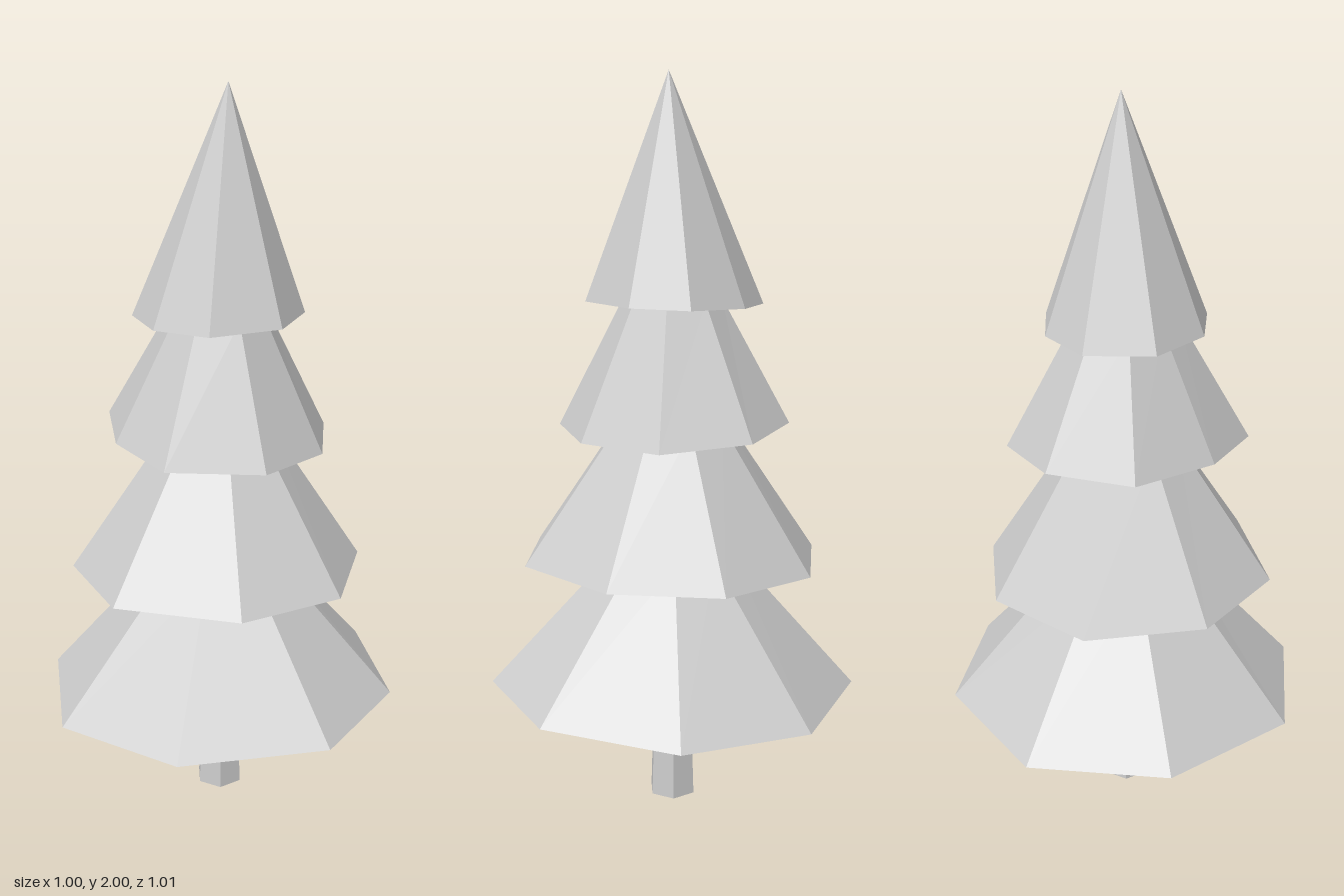
import * as THREE from 'three';

// Rims are [x, z] corners running back, left (+x), front, right.
// y is the rim height, tilt its slope along x and z; top is the upper ring's centre, shrink its scale.
const TIERS = [
  {
    name: 'bottomBranches', y: 0.336, tilt: [0.012, 0.026], top: [0.005, 0.72, 0], shrink: 0.32,
    rim: [[0.02, -0.51], [0.375, -0.34], [0.5, 0.005], [0.345, 0.36], [0.025, 0.505], [-0.345, 0.345], [-0.5, 0], [-0.335, -0.36]],
  },
  {
    name: 'lowerBranches', y: 0.706, tilt: [0.012, 0.025], top: [0.008, 1.09, 0], shrink: 0.36,
    rim: [[-0.1, -0.405], [0.205, -0.355], [0.38, -0.115], [0.35, 0.185], [0.125, 0.4], [-0.165, 0.37], [-0.39, 0.105], [-0.35, -0.2]],
  },
  {
    name: 'upperBranches', y: 1.079, tilt: [-0.035, -0.04], top: [0.005, 1.42, 0], shrink: 0.42,
    rim: [[-0.18, -0.28], [0.065, -0.31], [0.265, -0.19], [0.32, 0.05], [0.17, 0.245], [-0.05, 0.305], [-0.275, 0.18], [-0.285, -0.05]],
  },
  {
    name: 'treeTop', y: 1.407, tilt: [0.025, 0.03], top: [0.025, 2, 0.01], shrink: 0,
    rim: [[-0.01, -0.245], [0.14, -0.18], [0.23, -0.035], [0.195, 0.12], [0.045, 0.23], [-0.14, 0.18], [-0.21, 0.025], [-0.17, -0.155]],
  },
];

// Closed, faceted tier: sloping sides, a flat underside and a small cap (or a point)
function tierGeometry({ rim, y, tilt, top, shrink }) {
  const low = rim.map(([x, z]) => [x, y + tilt[0] * x + tilt[1] * z, z]);
  const high = rim.map(([x, z]) => [top[0] + x * shrink, top[1], top[2] + z * shrink]);
  const base = [0, y, 0];
  const p = [];
  const tri = (a, b, c) => p.push(...a, ...b, ...c);
  for (let i = 0; i < rim.length; i++) {
    const j = (i + 1) % rim.length;
    tri(low[i], high[i], low[j]);
    tri(base, low[i], low[j]);
    if (shrink > 0) {
      tri(low[j], high[i], high[j]);
      tri(top, high[j], high[i]);
    }
  }
  const g = new THREE.BufferGeometry();
  g.setAttribute('position', new THREE.Float32BufferAttribute(p, 3));
  g.computeVertexNormals();
  return g;
}

export function createModel() {
  const tree = new THREE.Group();
  tree.name = 'pineTree';
  const grey = new THREE.MeshStandardMaterial({ color: 0xcccccc, flatShading: true });
  grey.name = 'light grey';

  for (const tier of TIERS) {
    const mesh = new THREE.Mesh(tierGeometry(tier), grey);
    mesh.name = tier.name;
    tree.add(mesh);
  }

  // Six-sided trunk, a little wider at the ground, with corners towards +x and -x
  const trunk = new THREE.Mesh(new THREE.CylinderGeometry(0.056, 0.068, 0.36, 6), grey);
  trunk.name = 'trunk';
  trunk.rotation.y = Math.PI / 6;
  trunk.position.set(0.006, 0.18, 0);
  tree.add(trunk);

  return tree;
}
